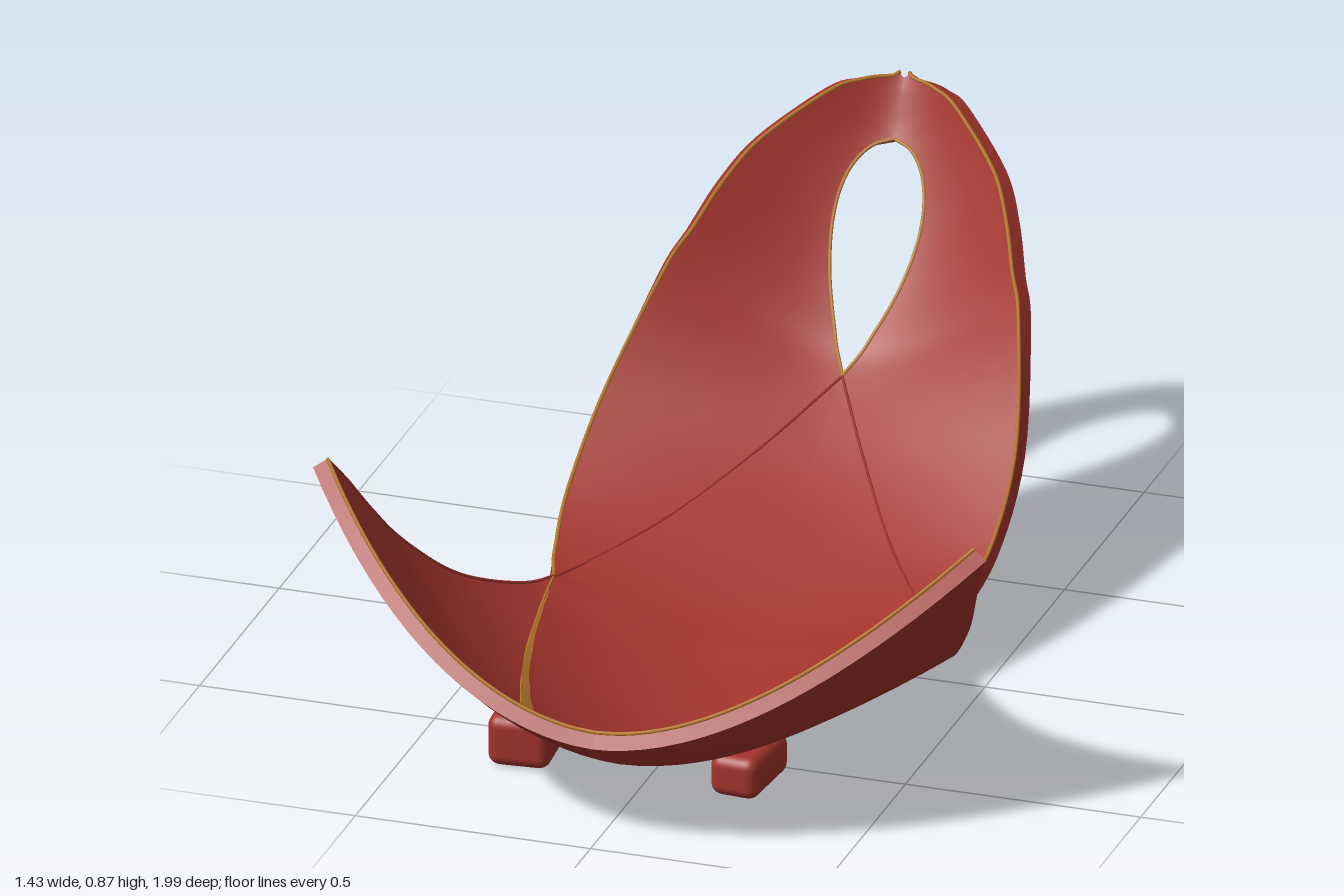
import * as THREE from 'three';
import { RoundedBoxGeometry } from 'three/addons/geometries/RoundedBoxGeometry.js';

// Cross-sections from nose to tail: centre z, centre y, rim z, rim y, half width
const STATIONS = [
  [-1, 0.84, -1, 0.845, 0.02],
  [-0.985, 0.815, -0.985, 0.847, 0.06],
  [-0.97, 0.785, -0.967, 0.845, 0.095],
  [-0.94, 0.73, -0.93, 0.832, 0.15],
  [-0.84, 0.57, -0.83, 0.75, 0.265],
  [-0.76, 0.475, -0.75, 0.68, 0.32],
  [-0.68, 0.4, -0.67, 0.6, 0.36],
  [-0.6, 0.335, -0.6, 0.53, 0.395],
  [-0.4, 0.225, -0.4, 0.33, 0.45],
  [-0.2, 0.14, -0.2, 0.19, 0.457],
  [0, 0.07, -0.03, 0.12, 0.43],
  [0.12, 0.04, 0.07, 0.112, 0.408],
  [0.25, 0.015, 0.17, 0.135, 0.46],
  [0.45, 0.012, 0.32, 0.215, 0.545],
  [0.65, 0.045, 0.45, 0.34, 0.62],
  [0.8, 0.1, 0.53, 0.44, 0.66],
  [0.92, 0.165, 0.59, 0.525, 0.69],
  [0.99, 0.215, 0.63, 0.58, 0.715],
];
const LAST = STATIONS.length - 1, WAIST = 11, HOLE_START = 3, HOLE_END = 7;
const THICK = 0.035;

// Smooth interpolation of one column; the half width keeps a corner at the waist
function column(s, k) {
  const i = Math.min(Math.floor(s), LAST - 1), f = s - i;
  const p1 = STATIONS[i][k], p2 = STATIONS[i + 1][k];
  const corner = (j) => j === 0 || j === LAST || (k === 4 && j === WAIST);
  const p0 = corner(i) ? 2 * p1 - p2 : STATIONS[i - 1][k];
  const p3 = corner(i + 1) ? 2 * p2 - p1 : STATIONS[i + 2][k];
  return p1 + 0.5 * f * (p2 - p0 + f * (2 * p0 - 5 * p1 + 4 * p2 - p3 + f * (3 * (p1 - p2) + p3 - p0)));
}

// Outer skin: s runs nose to tail, t from centre line to rim
function skin(s, t) {
  const [zc, yc, ze, ye, w] = [0, 1, 2, 3, 4].map((k) => column(s, k));
  const a = Math.abs(t);
  return new THREE.Vector3(t * w, yc + (ye - yc) * a ** 1.75, zc + (ze - zc) * a ** 2.3);
}

// Point on the skin, lifted along its normal, on the side given by m
function point(s, t, m, lift) {
  const e = 0.01;
  const ds = skin(Math.min(s + e, LAST), t).sub(skin(Math.max(s - e, 0), t));
  const dt = skin(s, t + e).sub(skin(s, t - e));
  const p = skin(s, t).addScaledVector(ds.cross(dt).normalize(), lift);
  p.x *= m;
  return p;
}

// Where the skin begins: the centre line, or the edge of the teardrop opening
function innerEdge(s) {
  if (s <= HOLE_START || s >= HOLE_END) return 0;
  const q = THREE.MathUtils.clamp((column(s, 0) + 0.94) / 0.34, 0, 1);
  return 0.105 * Math.sin(Math.PI * q ** 0.6) / column(s, 4);
}

function grid(nu, nv, fn, flip) {
  const pos = [], index = [];
  for (let i = 0; i <= nu; i++)
    for (let j = 0; j <= nv; j++) pos.push(...fn(i / nu, j / nv).toArray());
  for (let i = 0; i < nu; i++)
    for (let j = 0; j < nv; j++) {
      const a = i * (nv + 1) + j, b = a + nv + 1;
      if (flip) index.push(a, a + 1, b, b, a + 1, b + 1);
      else index.push(a, b, a + 1, b, b + 1, a + 1);
    }
  const g = new THREE.BufferGeometry();
  g.setAttribute('position', new THREE.Float32BufferAttribute(pos, 3));
  g.setIndex(index);
  g.computeVertexNormals();
  return g;
}

export function createModel() {
  const model = new THREE.Group();
  model.name = 'fishBowl';
  const red = new THREE.MeshStandardMaterial({ color: 0xa3342d });
  const gold = new THREE.MeshStandardMaterial({ color: 0xb8782a });
  const add = (name, geometry, material, parent = model) => {
    const mesh = new THREE.Mesh(geometry, material);
    mesh.name = name;
    parent.add(mesh);
    return mesh;
  };
  const ROWS = LAST * 6, COLS = 20;

  for (const m of [1, -1]) {
    const side = m > 0 ? 'left' : 'right', mirrored = m < 0;
    const half = new THREE.Group();
    half.name = side + 'Half';
    model.add(half);

    // Shell: inside, outside and the walls joining them
    const sheet = (lift) => (u, v) => {
      const s = u * LAST, t0 = innerEdge(s);
      return point(s, t0 + (1 - t0) * v, m, lift);
    };
    const holeS = (u) => HOLE_START + u * (HOLE_END - HOLE_START);
    add('innerSurface', grid(ROWS, COLS, sheet(THICK), mirrored), red, half);
    add('outerSurface', grid(ROWS, COLS, sheet(0), !mirrored), red, half);
    add('sideRim', grid(ROWS, 1, (u, v) => point(u * LAST, 1, m, v * THICK), !mirrored), red, half);
    add('openingWall', grid(24, 1, (u, v) => point(holeS(u), innerEdge(holeS(u)), m, v * THICK), mirrored), red, half);
    add('tailRim', grid(COLS, 1, (u, v) => point(LAST, u, m, v * THICK), mirrored), red, half);
    add('noseRim', grid(4, 1, (u, v) => point(0, u, m, v * THICK), !mirrored), red, half);

    // Thin lines lying on the inner surface
    const line = (name, st, material, radius = 0.004) => {
      const curve = new THREE.CatmullRomCurve3(st.map(([s, t]) => point(s, t, m, THICK)));
      add(name, new THREE.TubeGeometry(curve, st.length * 4, radius, 6), material, half);
    };
    const steps = (n, fn) => Array.from({ length: n + 1 }, (_, i) => fn(i / n));
    line('bodyTrim', steps(44, (u) => [u * WAIST, 0.995]), gold);
    line('tailSideTrim', steps(16, (u) => [WAIST + u * (LAST - WAIST), 0.995]), red);
    line('tailTrim', steps(12, (u) => [LAST, u]), gold);
    line('openingTrim', steps(24, (u) => [holeS(u), innerEdge(holeS(u))]), gold);
    line('crossingSeam', [[7, 0], [8, 0.27], [9, 0.53], [10, 0.85], [11, 0.99]], red, 0.003);
    const fold = [[11, 0.99], [12, 0.85], [13, 0.65], [14, 0.48], [15, 0.37], [16, 0.3], [16.55, 0.26]];
    line('foldSeam', fold, mirrored ? gold : red, 0.003);
    line('foldEnd', [[16.55, 0.26], [16.75, 0.18], [16.8, 0]], red, 0.003);

    // Gold wedge widening towards the tail on one fold only
    if (mirrored) {
      const wedge = (u, v) => {
        const k = u * (fold.length - 1), i = Math.min(Math.floor(k), fold.length - 2), f = k - i;
        const s = THREE.MathUtils.lerp(fold[i][0], fold[i + 1][0], f);
        const t = THREE.MathUtils.lerp(fold[i][1], fold[i + 1][1], f);
        return point(s, t - v * 0.065 * u, m, THICK + 0.003);
      };
      add('foldWedge', grid(36, 2, wedge, false), gold, half);
    }
  }

  // Two small feet under the tail
  const feet = [['leftFoot', 0.2, 0.105, 0.09, -0.08], ['rightFoot', -0.27, 0.13, 0.11, 0.08]];
  for (const [name, x, w, h, turn] of feet) {
    const foot = add(name, new RoundedBoxGeometry(w, h, 0.18, 4, 0.025), red);
    foot.position.set(x, h / 2, 0.595);
    foot.rotation.y = turn;
  }
  return model;
}
